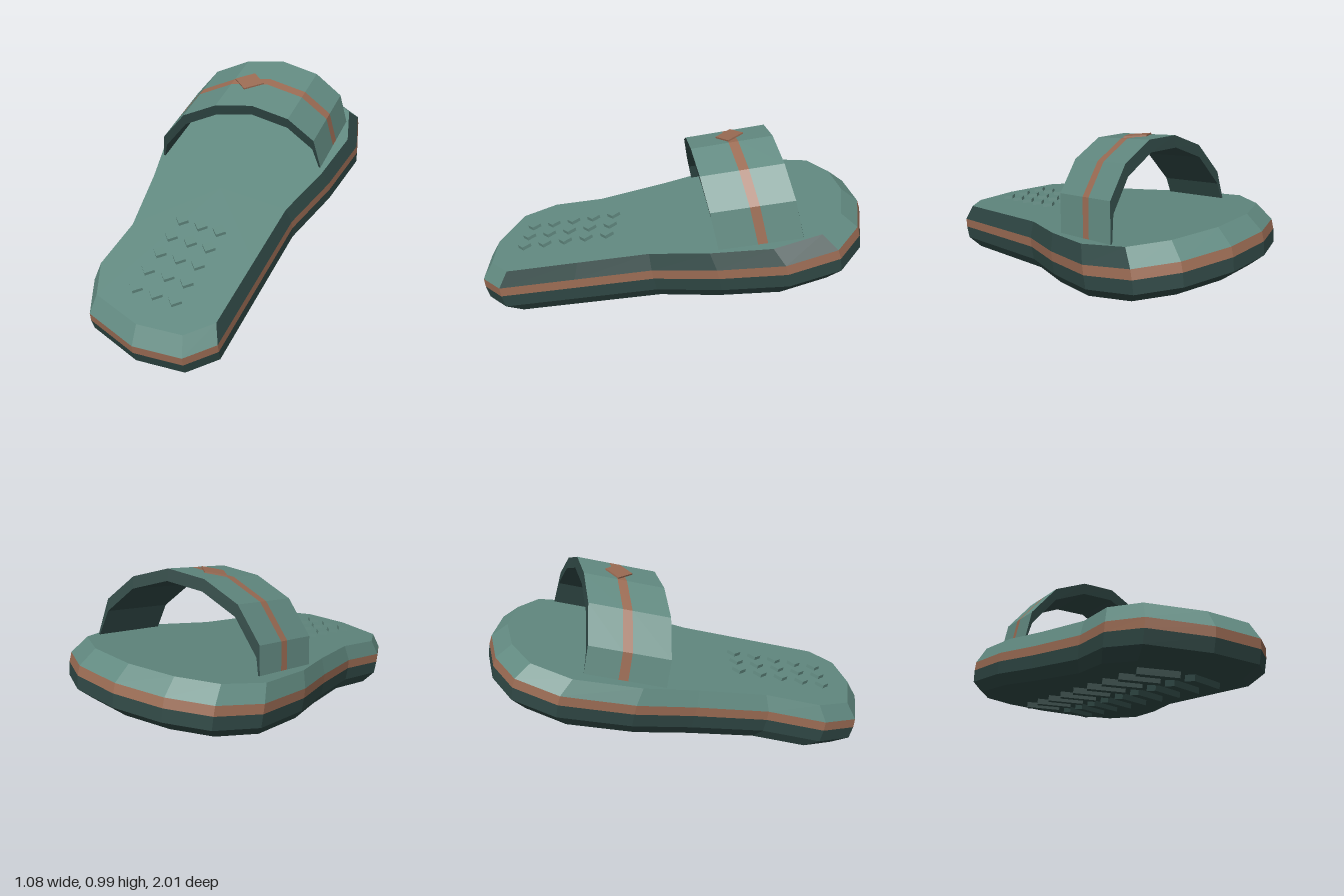
import * as THREE from 'three';

const TILT = 0.222;
const mat = (name, color) => new THREE.MeshStandardMaterial({ name, color, flatShading: true });

// Faceted band between two rows of points
function band(a, b, closed = false, from = 0, count = closed ? a.length : a.length - 1) {
  const pos = [];
  for (let k = 0; k < count; k++) {
    const i = (from + k) % a.length, j = (i + 1) % a.length;
    for (const p of [a[i], b[i], a[j], a[j], b[i], b[j]]) pos.push(...p);
  }
  return facets(pos);
}

// Flat fan that closes a ring
function cap(ring, y, up) {
  const pos = [], c = [0, y, -0.07];
  ring.forEach((p, i) => {
    const q = ring[(i + 1) % ring.length];
    for (const v of up ? [c, q, p] : [c, p, q]) pos.push(...v);
  });
  return facets(pos);
}

function facets(pos) {
  const g = new THREE.BufferGeometry();
  g.setAttribute('position', new THREE.Float32BufferAttribute(pos, 3));
  g.computeVertexNormals();
  return g;
}

export function createModel() {
  const light = mat('sage green', 0x628a81);
  const dark = mat('deep green', 0x2f4744);
  const brown = mat('copper brown', 0x9a6b53);

  const model = new THREE.Group();
  model.name = 'slideSandal';
  const body = new THREE.Group();
  body.name = 'tiltedSandal';
  body.rotation.x = TILT;
  model.add(body);
  const add = (name, geo, m, parent = body) => {
    const mesh = new THREE.Mesh(geo, m);
    mesh.name = name;
    parent.add(mesh);
    return mesh;
  };

  // Sole outline, from the toe round the +x side to the heel and back
  const outline = [
    [0, -1], [0.27, -0.975], [0.46, -0.87], [0.54, -0.625], [0.5, -0.3], [0.42, 0.03],
    [0.41, 0.43], [0.4, 0.84], [0.28, 0.965], [0.03, 0.995], [-0.26, 0.915], [-0.355, 0.73],
    [-0.34, 0.43], [-0.425, 0.05], [-0.51, -0.25], [-0.54, -0.61], [-0.44, -0.83], [-0.25, -0.945],
  ].map(([x, z]) => [x, (z - 0.075) / 0.975]);
  const ring = (y, s) => outline.map(([x, z]) => [x * s, y, -0.07 + (z + 0.07) * s]);
  const bottom = ring(0.2, 0.91), low = ring(0.255, 0.995), mid = ring(0.322, 1);
  const high = ring(0.37, 0.995), top = ring(0.45, 0.925);

  const sole = new THREE.Group();
  sole.name = 'sole';
  body.add(sole);
  add('outsole', cap(bottom, 0.2, false), dark, sole);
  add('lowerBevel', band(bottom, low, true), dark, sole);
  add('lowerSide', band(low, mid, true), dark, sole);
  add('sideStripe', band(mid, high, true), brown, sole);
  add('upperSideWall', band(high, top, true, 2, 5), dark, sole);
  add('upperBevel', band(high, top, true, 7, 13), light, sole);
  add('footbed', cap(top, 0.45, true), light, sole);

  // Massage studs near the heel
  const stud = new THREE.CylinderGeometry(0.037, 0.037, 0.03, 4);
  for (let r = 0; r < 5; r++) {
    for (const x of [-0.08, 0.03, 0.135]) {
      add('footbedStud', stud, light).position.set(x, 0.453, 0.216 + r * 0.117);
    }
  }

  // Chevron tread lugs
  const lug = new THREE.BoxGeometry(0.19, 0.04, 0.055);
  for (let r = 0; r < 9; r++) {
    for (const [x, turn] of [[-0.085, -0.4], [0.14, 0.4]]) {
      const m = add('treadLug', lug, dark);
      m.position.set(x, 0.19, 0.68 - r * 0.178);
      m.rotation.y = turn;
    }
  }

  // Skewed strap: arch stations in x and y
  const arch = [
    [-0.425, 0.44], [-0.402, 0.591], [-0.27, 0.755], [-0.09, 0.837],
    [0.1, 0.85], [0.28, 0.776], [0.407, 0.637], [0.442, 0.44],
  ];
  const outer = (d) => arch.map(([x, y]) => [x, y, -0.503 - 0.24 * x + d]);
  const inner = (d) => arch.map(([x, y]) => [x * 0.98, Math.max(y - 0.06, 0.44), -0.503 - 0.24 * x + d]);
  const B = -0.205, F = 0.205, S0 = -0.035, S1 = 0.013;
  const strap = new THREE.Group();
  strap.name = 'strap';
  body.add(strap);
  add('strapBackPanel', band(outer(B), outer(S0)), light, strap);
  add('strapStripe', band(outer(S0), outer(S1)), brown, strap);
  add('strapFrontPanel', band(outer(S1), outer(F)), light, strap);
  add('strapLining', band(inner(F), inner(B)), dark, strap);
  add('strapFrontEdge', band(outer(F), inner(F)), dark, strap);
  add('strapBackEdge', band(inner(B), outer(B)), dark, strap);

  // Diamond badge on the crown of the strap
  const badge = add('diamondBadge', new THREE.CylinderGeometry(1, 1, 0.008, 4), brown, strap);
  badge.scale.set(0.085, 1, 0.07);
  badge.position.set(0, 0.847, -0.512);
  badge.rotation.z = 0.068;

  return model;
}
